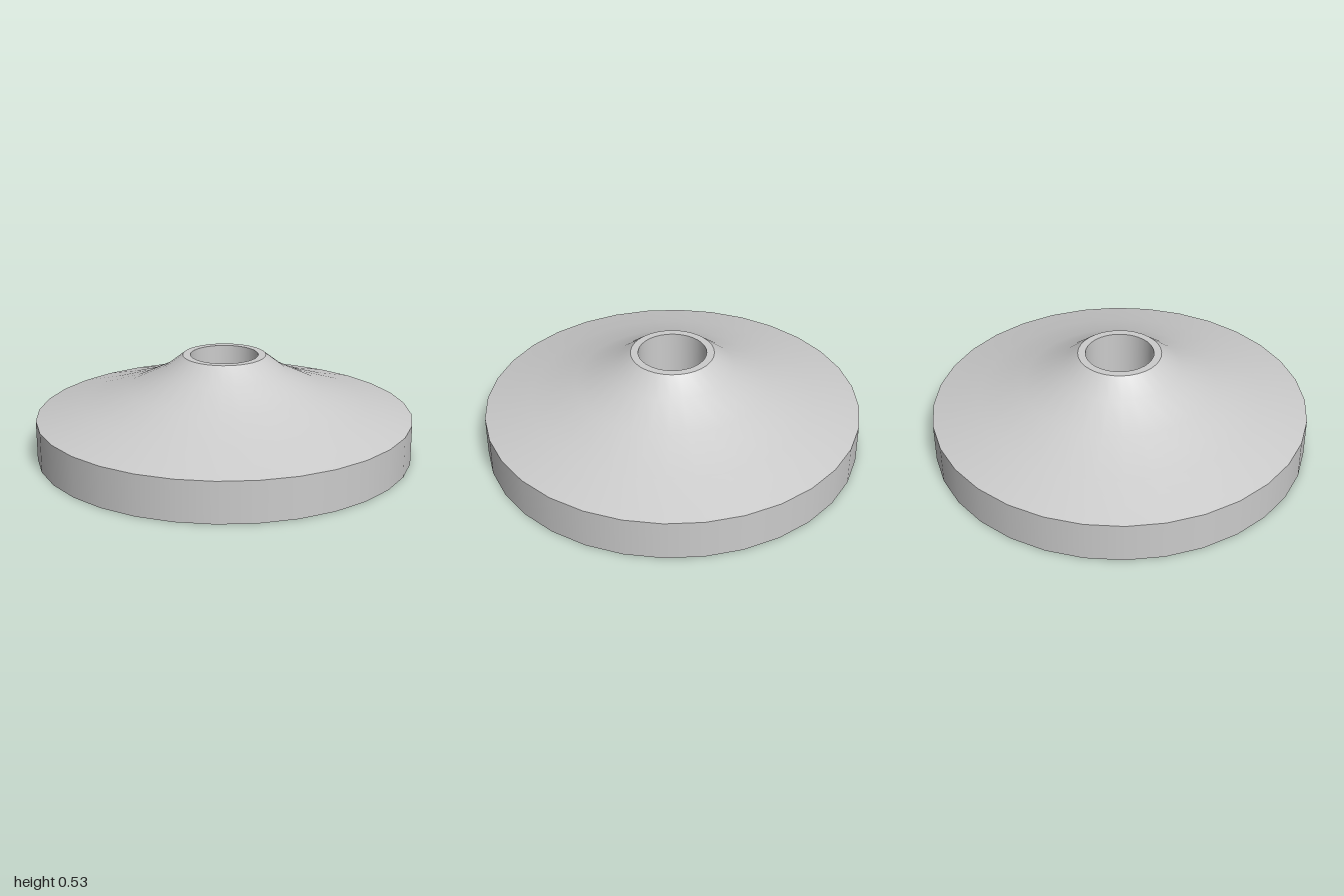
import * as THREE from 'three';

const SEGMENTS = 32;

export function createModel() {
  const group = new THREE.Group();
  group.name = 'flaredCollar';
  const material = new THREE.MeshStandardMaterial({ color: 0xcccccc });

  // Each band is its own lathe, so shading is smooth around and edges stay crisp
  const addBand = (name, profile) => {
    const points = profile.map(([r, y]) => new THREE.Vector2(r, y));
    const mesh = new THREE.Mesh(new THREE.LatheGeometry(points, SEGMENTS), material);
    mesh.name = name;
    group.add(mesh);
  };

  const hole = 0.18, lip = 0.22, rim = 1, rimTop = 0.213, top = 0.533;

  // Closed cross-section, running from the underside outward and up to the bore
  addBand('underside', [[hole, 0], [rim, 0]]);
  addBand('rim', [[rim, 0], [rim, rimTop]]);
  addBand('flaredSlope', [[rim, rimTop], [0.755, 0.28], [0.513, 0.36], [0.327, 0.45], [lip, top]]);
  addBand('topLip', [[lip, top], [hole, top]]);
  addBand('bore', [[hole, top], [hole, 0]]);

  return group;
}
